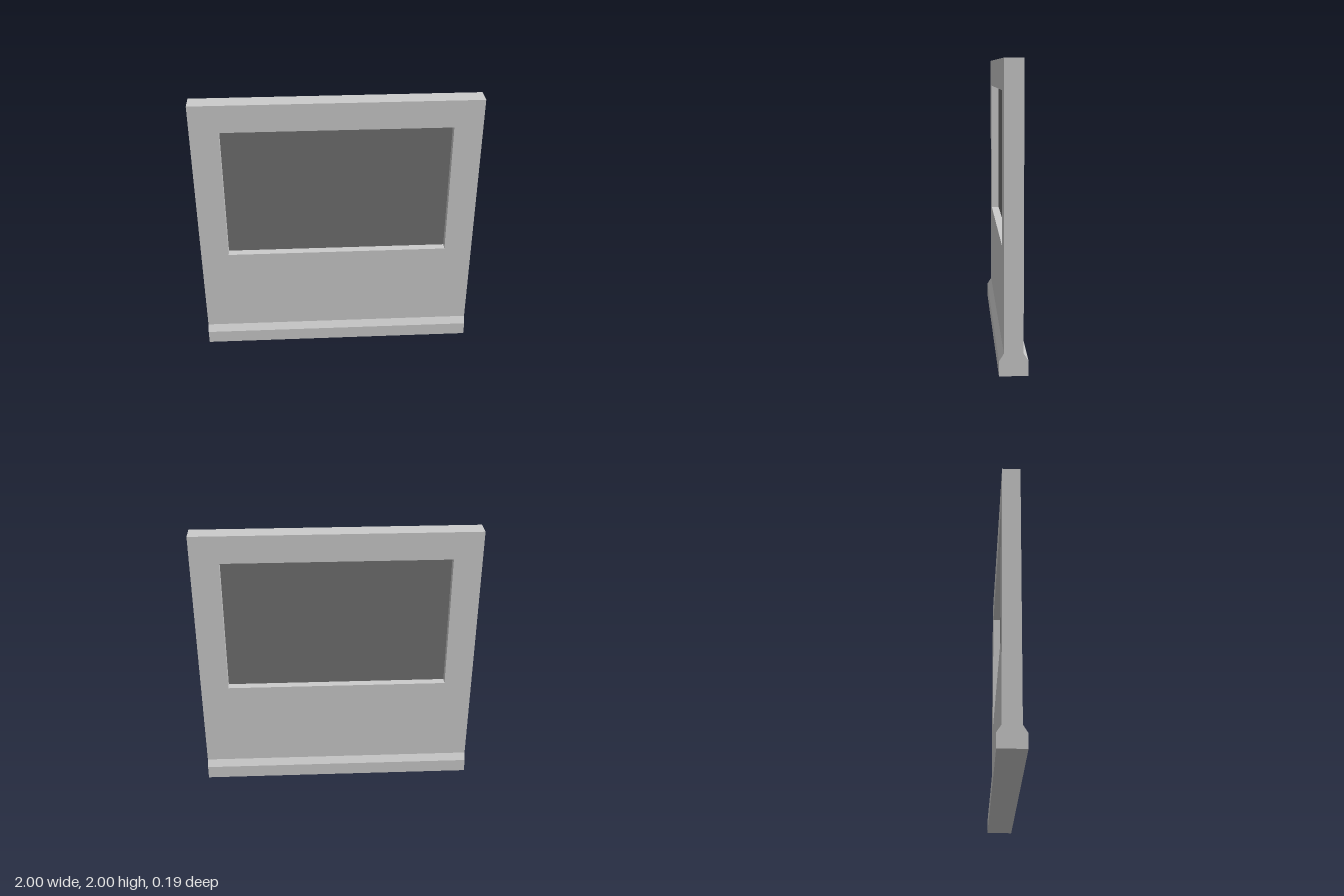
import * as THREE from 'three';

const WALL = 0.125;   // panel thickness
const BASE = 0.188;   // plinth thickness
const BASE_TOP = 0.15;

const grey = new THREE.MeshStandardMaterial({ color: 0xcccccc, flatShading: true });
const dark = new THREE.MeshStandardMaterial({ color: 0x707070, flatShading: true });

function polygon(points, Type = THREE.Shape) {
  return new Type(points.map(([x, y]) => new THREE.Vector2(x, y)));
}

function rect(x0, y0, x1, y1, Type) {
  return polygon([[x0, y0], [x1, y0], [x1, y1], [x0, y1]], Type);
}

// Extrudes a shape, centred on its own depth
function extrude(shape, depth) {
  return new THREE.ExtrudeGeometry(shape, { depth, bevelEnabled: false }).translate(0, 0, -depth / 2);
}

function part(name, geometry, material) {
  const mesh = new THREE.Mesh(geometry, material);
  mesh.name = name;
  return mesh;
}

export function createModel() {
  const group = new THREE.Group();
  group.name = 'windowWall';

  // Upright panel with the window opening
  const panel = rect(-1, BASE_TOP, 1, 2);
  panel.holes.push(rect(-0.8, 0.8, 0.8, 1.8, THREE.Path));
  group.add(part('wallPanel', extrude(panel, WALL), grey));

  // Plinth with chamfered top edges on both sides, run along x
  const w = WALL / 2, b = BASE / 2;
  const profile = polygon([[-b, 0], [b, 0], [b, 0.1], [w, BASE_TOP], [-w, BASE_TOP], [-b, 0.1]]);
  group.add(part('plinth', extrude(profile, 2).rotateY(Math.PI / 2), grey));

  // Thin dark pane set midway in the opening
  const pane = part('windowPane', new THREE.BoxGeometry(1.6, 1, 0.0125), dark);
  pane.position.y = 1.3;
  group.add(pane);

  return group;
}
